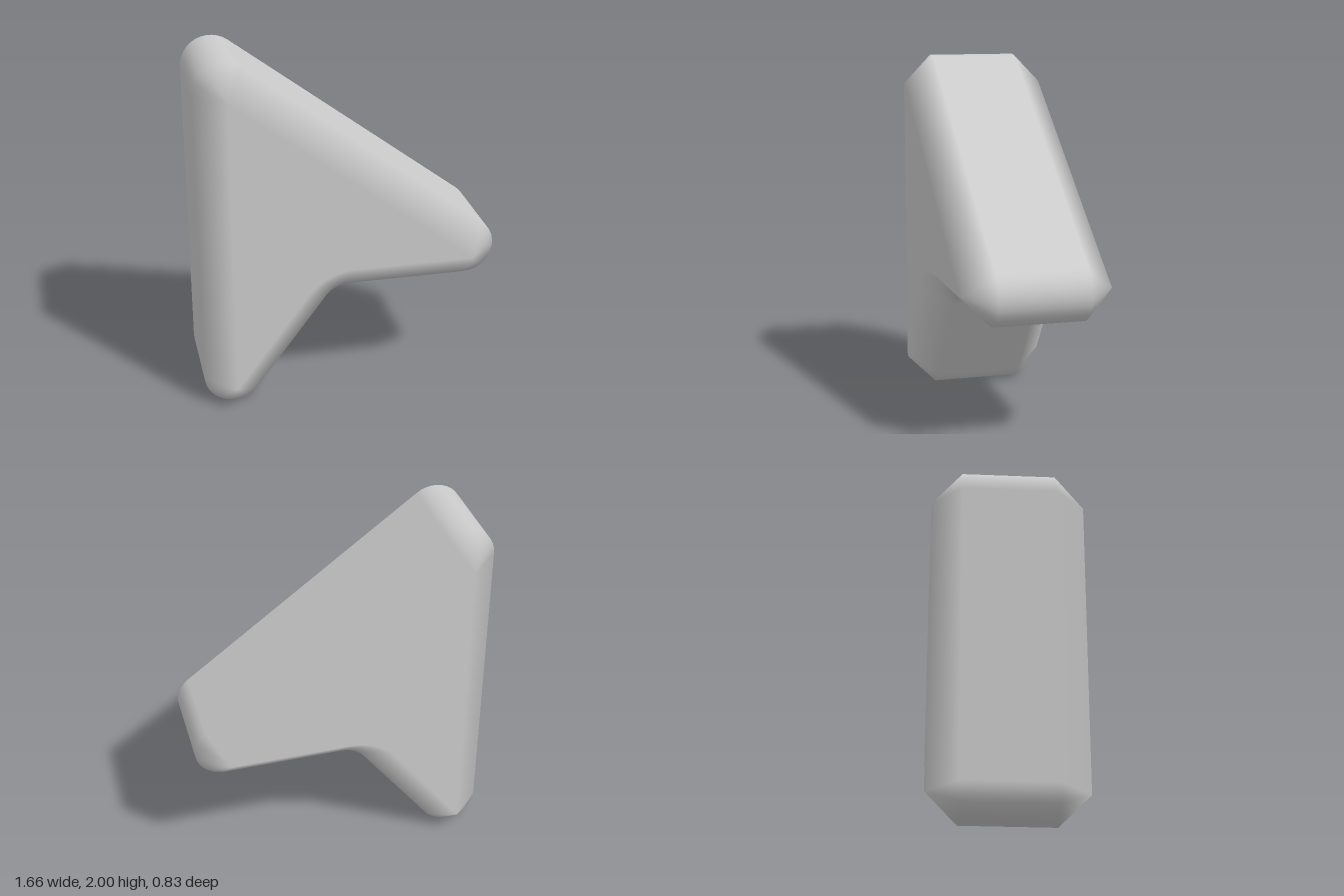
import * as THREE from 'three';

const BEVEL = 0.165, HALF_FLAT = 0.25, HALF_DEPTH = 0.415, STEPS = 12;

// Corners of the inset face: centre, arc radius (negative = concave), start and end normal angle
const CORNERS = [
  { x: -0.665, y: 0.165, r: 0, from: -180, to: -36.7 },     // lower tip
  { x: 0, y: 0.505, r: -0.33, from: -36.7, to: -90 },       // concave notch
  { x: 0.665, y: 0.835, r: 0, from: -90, to: 53.06 },       // side tip
  { x: -0.665, y: 1.835, r: 0, from: 53.06, to: 180 },      // upper tip
];

// Outline stations, counter-clockwise: inset point plus outward normal
function outline() {
  const stations = [];
  for (const c of CORNERS) {
    for (let i = 0; i <= STEPS; i++) {
      const a = THREE.MathUtils.degToRad(c.from + (c.to - c.from) * i / STEPS);
      const nx = Math.cos(a), ny = Math.sin(a);
      // concave corner: its centre lies outside, on the side the normal points to
      stations.push({ x: c.x + c.r * nx, y: c.y + c.r * ny, nx, ny });
    }
  }
  return stations;
}

function arrowGeometry() {
  const stations = outline(), n = stations.length;
  const positions = [], normals = [], index = [];

  // Four rings from front to back; normals blend only across the bevels
  const rings = [
    { z: HALF_DEPTH, out: 0, nz: 1 },
    { z: HALF_FLAT, out: BEVEL, nz: 0 },
    { z: -HALF_FLAT, out: BEVEL, nz: 0 },
    { z: -HALF_DEPTH, out: 0, nz: -1 },
  ];
  for (const { z, out, nz } of rings) {
    for (const s of stations) {
      positions.push(s.x + s.nx * out, s.y + s.ny * out, z);
      if (nz) normals.push(0, 0, nz);
      else normals.push(s.nx, s.ny, 0);
    }
  }

  // Bevels and side wall
  for (let r = 0; r < 3; r++) {
    for (let i = 0; i < n; i++) {
      const j = (i + 1) % n;
      const a = r * n + i, b = r * n + j, c = a + n, d = b + n;
      index.push(a, c, b, b, c, d);
    }
  }

  // Front and back faces, fanned from the upper tip
  const tip = n - 1, back = 3 * n;
  for (let i = 0; i < n - 2; i++) {
    index.push(tip, i, i + 1);
    index.push(back + tip, back + i + 1, back + i);
  }

  const geo = new THREE.BufferGeometry();
  geo.setAttribute('position', new THREE.Float32BufferAttribute(positions, 3));
  geo.setAttribute('normal', new THREE.Float32BufferAttribute(normals, 3));
  geo.setIndex(index);
  return geo;
}

export function createModel() {
  const group = new THREE.Group();
  group.name = 'pointerArrow';
  const arrow = new THREE.Mesh(arrowGeometry(), new THREE.MeshStandardMaterial({ color: 0xcccccc }));
  arrow.name = 'arrowBody';
  group.add(arrow);
  return group;
}
